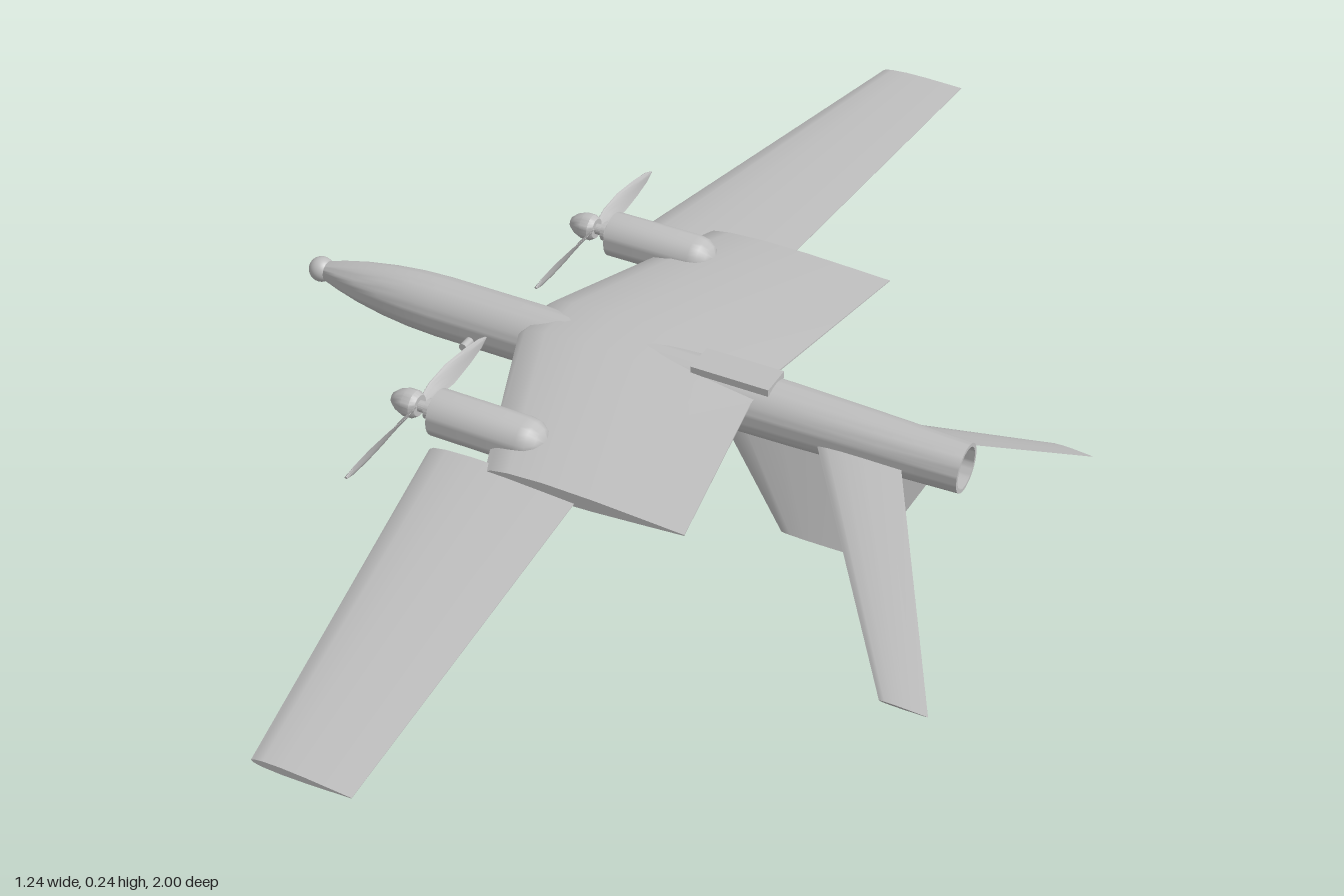
import * as THREE from 'three';
import { toCreasedNormals } from 'three/addons/utils/BufferGeometryUtils.js';

const V = (x, y, z) => new THREE.Vector3(x, y, z);
const AXIS_Y = 0.181;

export function createModel() {
  const group = new THREE.Group();
  const grey = new THREE.MeshStandardMaterial({ color: 0xbebebe });
  grey.name = 'light grey';

  function add(name, geometry, x = 0, y = 0, z = 0) {
    const mesh = new THREE.Mesh(geometry, grey);
    mesh.name = name;
    mesh.position.set(x, y, z);
    group.add(mesh);
    return mesh;
  }

  // body of revolution along x, from [x, radius] pairs
  function turned(profile, segments = 40) {
    const g = new THREE.LatheGeometry(profile.map(([x, r]) => new THREE.Vector2(r, x)), segments);
    g.rotateZ(-Math.PI / 2);
    return toCreasedNormals(g, 0.6);
  }

  // airfoil surface lofted through sections {lead, trail, thick}; thick is a vector
  const foil = [[0, 0], [0.03, 0.24], [0.12, 0.42], [0.3, 0.5], [0.55, 0.4], [0.8, 0.2], [1, 0.03]];
  const loop = [...foil, ...foil.slice(1).reverse().map(([t, h]) => [t, -h])];
  function loft(sections) {
    const pos = [], idx = [], n = loop.length;
    for (const { lead, trail, thick } of sections)
      for (const [t, h] of loop) {
        const p = lead.clone().lerp(trail, t).addScaledVector(thick, h);
        pos.push(p.x, p.y, p.z);
      }
    for (let s = 0; s < sections.length - 1; s++)
      for (let i = 0; i < n; i++) {
        const a = s * n + i, b = s * n + (i + 1) % n;
        idx.push(a, b, a + n, b, b + n, a + n);
      }
    const last = (sections.length - 1) * n;
    for (let i = 1; i < n - 1; i++) {
      idx.push(0, i + 1, i);
      idx.push(last, last + i, last + i + 1);
    }
    // turn the faces outward on whichever side the loft was built
    const at = (i) => V(pos[3 * i], pos[3 * i + 1], pos[3 * i + 2]);
    let volume = 0;
    for (let i = 0; i < idx.length; i += 3)
      volume += at(idx[i]).dot(at(idx[i + 1]).cross(at(idx[i + 2])));
    if (volume < 0) idx.reverse();
    const g = new THREE.BufferGeometry();
    g.setAttribute('position', new THREE.Float32BufferAttribute(pos, 3));
    g.setIndex(idx);
    return toCreasedNormals(g, 0.6);
  }

  // round rod between points
  function rod(name, points, radius) {
    const path = points.length > 2 ? new THREE.CatmullRomCurve3(points) : new THREE.LineCurve3(...points);
    add(name, new THREE.TubeGeometry(path, points.length > 2 ? 14 : 1, radius, 8));
  }

  // fuselage with recessed tail opening, and nose ball
  add('fuselage', turned([
    [-0.6, 0], [-0.6, 0.013], [-0.585, 0.018], [-0.56, 0.025], [-0.52, 0.034], [-0.47, 0.042],
    [-0.42, 0.047], [-0.37, 0.049], [0.12, 0.049], [0.25, 0.047], [0.4, 0.043], [0.525, 0.039],
    [0.525, 0.033], [0.49, 0.033], [0.49, 0],
  ], 48), 0, AXIS_Y);
  add('noseBall', new THREE.SphereGeometry(0.021, 28, 20), -0.602, AXIS_Y);

  // centre wing in one piece across the body
  add('centreWing', loft([
    { lead: V(-0.08, 0.203, -0.36), trail: V(0.245, 0.209, -0.36), thick: V(0, 0.026, 0) },
    { lead: V(-0.205, 0.21, -0.045), trail: V(0.195, 0.213, -0.045), thick: V(0, 0.044, 0) },
    { lead: V(-0.205, 0.21, 0.045), trail: V(0.195, 0.213, 0.045), thick: V(0, 0.044, 0) },
    { lead: V(-0.08, 0.203, 0.36), trail: V(0.245, 0.209, 0.36), thick: V(0, 0.026, 0) },
  ]));
  add('dorsalPlate', new THREE.BoxGeometry(0.13, 0.012, 0.055), 0.15, 0.228);

  // camera ball under the body
  add('sensorBall', new THREE.SphereGeometry(0.02, 24, 16), 0.125, 0.128);

  for (const s of [-1, 1]) {
    add('outerWing', loft([
      { lead: V(-0.185, 0.195, s * 0.342), trail: V(0.067, 0.199, s * 0.342), thick: V(0, 0.02, 0) },
      { lead: V(-0.045, 0.197, s), trail: V(0.107, 0.2, s), thick: V(0, 0.012, 0) },
    ]));

    // rear fins slanting down and out
    add('tailFin', loft([
      { lead: V(0.29, 0.184, s * 0.025), trail: V(0.43, 0.184, s * 0.025), thick: V(0, 0.006, s * 0.003) },
      { lead: V(0.543, 0.005, s * 0.336), trail: V(0.618, 0.005, s * 0.336), thick: V(0, 0.006, s * 0.003) },
    ]));
    // steep fins under the body
    add('ventralFin', loft([
      { lead: V(0.135, 0.15, s * 0.02), trail: V(0.475, 0.15, s * 0.02), thick: V(0, 0.004, s * 0.011) },
      { lead: V(0.265, 0.014, s * 0.072), trail: V(0.41, 0.014, s * 0.072), thick: V(0, 0.003, s * 0.008) },
    ]));

    // engine nacelle, shaft and spinner
    const z = s * 0.275, y = 0.21;
    add('nacelle', turned([
      [-0.21, 0], [-0.21, 0.037], [-0.06, 0.037], [-0.045, 0.034], [-0.033, 0.025], [-0.026, 0.012], [-0.024, 0],
    ], 32), 0, y, z);
    add('propellerShaft', turned([
      [-0.25, 0], [-0.25, 0.009], [-0.228, 0.009], [-0.228, 0.016], [-0.221, 0.016], [-0.221, 0.01], [-0.205, 0.01], [-0.205, 0],
    ], 20), 0, y, z);
    add('spinner', turned([
      [-0.291, 0], [-0.288, 0.009], [-0.278, 0.017], [-0.264, 0.022], [-0.25, 0.022], [-0.242, 0.017], [-0.242, 0],
    ], 24), 0, y, z);

    // twisted two-blade propeller
    for (const d of [-1, 1]) {
      const blade = [[0.01, 0.012, 1.0], [0.045, 0.026, 0.85], [0.09, 0.034, 0.6 + 0.5], [0.14, 0.028, 1.25], [0.18, 0.017, 1.35], [0.197, 0.004, 1.4]];
      add('propellerBlade', loft(blade.map(([r, chord, angle]) => {
        const cx = Math.cos(angle) * chord / 2, cy = d * Math.sin(angle) * chord / 2;
        return {
          lead: V(-0.245 - cx, y - cy, z + d * r),
          trail: V(-0.245 + cx, y + cy, z + d * r),
          thick: V(-Math.sin(angle) * 0.005, d * Math.cos(angle) * 0.005, 0),
        };
      })));
    }

    // small round side studs
    for (const x of [-0.293, 0.095]) {
      const stud = new THREE.CylinderGeometry(0.007, 0.007, 0.03, 16).rotateX(Math.PI / 2);
      add('sideStud', stud, x, 0.17, s * 0.055);
    }

    // folded linkage under the body
    const a = s * 0.034, b = s * 0.024;
    rod('upperLink', [V(-0.078, 0.121, b), V(0.052, 0.116, b)], 0.006);
    rod('middleLink', [V(-0.08, 0.098, a), V(0.052, 0.104, a)], 0.007);
    rod('lowerLink', [V(-0.132, 0.092, b), V(0.01, 0.083, b)], 0.006);
    for (const [x, h] of [[-0.08, 0.118], [0.054, 0.106], [-0.128, 0.086]])
      add('linkJoint', new THREE.CylinderGeometry(0.01, 0.01, 0.02, 16).rotateX(Math.PI / 2), x, h, s * 0.029);
    rod('linkStrut', [V(-0.03, 0.14, s * 0.02), V(-0.03, 0.118, b)], 0.005);

    // gripper fingers, lengthwise and sideways, hooked at the ends
    rod('gripperFinger', [V(0.005, 0.074, 0), V(0.005 + s * 0.06, 0.073, 0), V(0.005 + s * 0.076, 0.066, 0), V(0.005 + s * 0.082, 0.048, 0)], 0.0035);
    for (const x of [-0.075, 0.01])
      rod('gripperFinger', [V(x, 0.074, 0), V(x, 0.073, s * 0.075), V(x, 0.067, s * 0.09), V(x, 0.048, s * 0.096)], 0.0035);
  }

  // crossbars and hub that tie the linkage together
  for (const [x, h] of [[-0.08, 0.118], [0.052, 0.106], [-0.128, 0.086]])
    rod('crossbar', [V(x, h, -0.035), V(x, h, 0.035)], 0.005);
  rod('gripperBeam', [V(-0.135, 0.077, 0), V(0.015, 0.074, 0)], 0.006);
  add('gripperHub', new THREE.SphereGeometry(0.012, 18, 12), 0.01, 0.076);

  return group;
}
